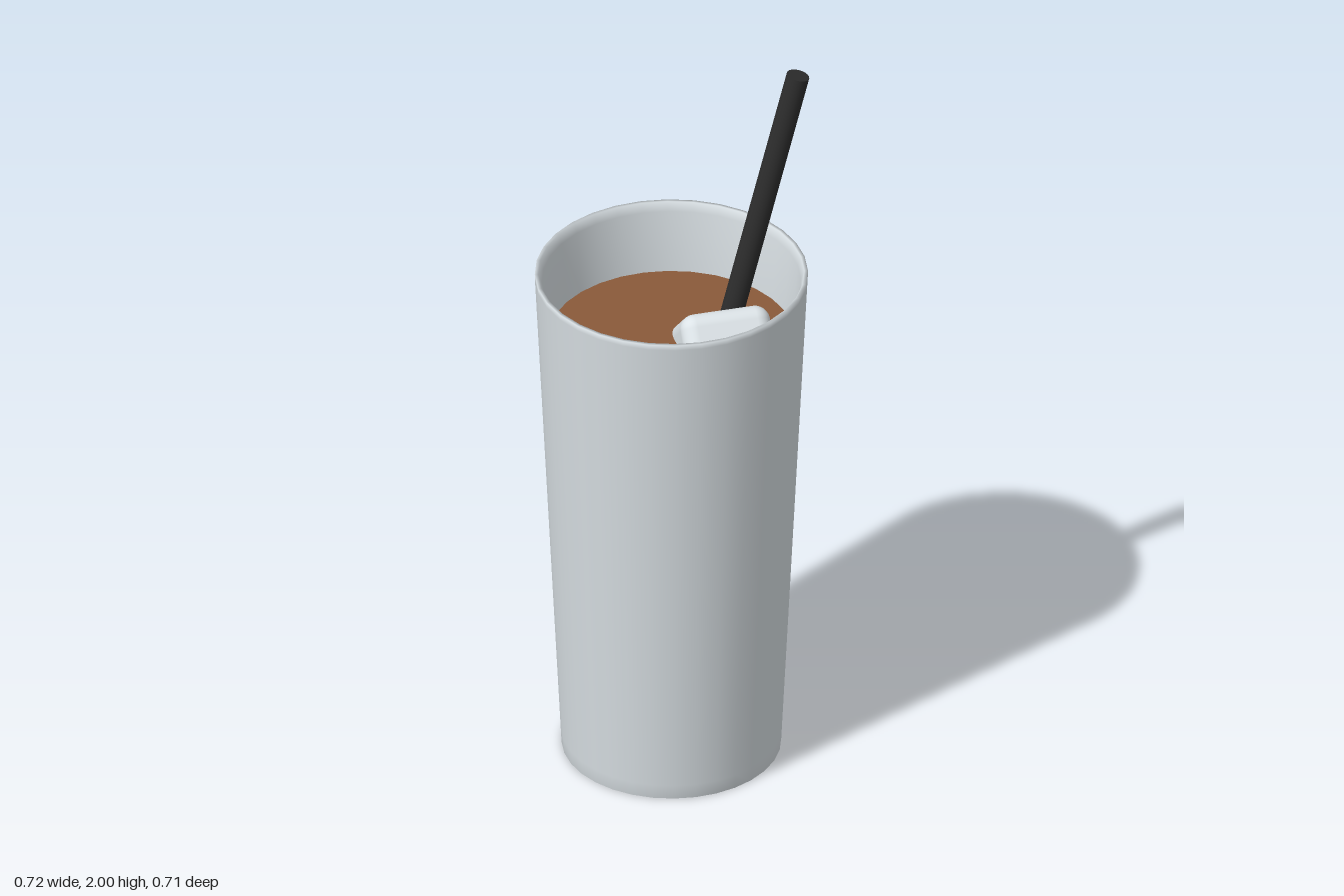
import * as THREE from 'three';
import { RoundedBoxGeometry } from 'three/addons/geometries/RoundedBoxGeometry.js';

const material = (name, color) => {
  const m = new THREE.MeshStandardMaterial({ color });
  m.name = name;
  return m;
};

export function createModel() {
  const group = new THREE.Group();
  const cupMat = material('pale grey cup', 0xd6dde1);
  const iceMat = material('ice white', 0xdce3e7);
  const drinkMat = material('brown drink', 0x8a5a3a);
  const strawMat = material('black straw', 0x2c2c2c);
  const axisX = -0.006;

  const add = (name, geometry, mat, x, y, z) => {
    const mesh = new THREE.Mesh(geometry, mat);
    mesh.name = name;
    mesh.position.set(x, y, z);
    group.add(mesh);
    return mesh;
  };

  // Tapered cup: recessed underside, outer wall, thin lip, inner wall and inner floor
  const profile = [
    [0, 0.09], [0.24, 0.09], [0.268, 0.085], [0.275, 0.02], [0.279, 0], [0.285, 0],
    [0.287, 0.04], [0.32, 0.72], [0.354, 1.42], [0.3545, 1.435], [0.345, 1.435],
    [0.336, 1.41], [0.32, 1.23], [0.27, 0.13], [0, 0.13],
  ].map(([r, y]) => new THREE.Vector2(r, y));
  add('cup', new THREE.LatheGeometry(profile, 32), cupMat, axisX, 0, 0);

  // Drink filling the cup
  const drinkTop = 1.237, drinkBottom = 0.135;
  add('drink', new THREE.CylinderGeometry(0.32, 0.269, drinkTop - drinkBottom, 32), drinkMat,
    axisX, (drinkTop + drinkBottom) / 2, 0);

  // Tilted ice cube, half sunk in the drink
  const ice = add('iceCube', new RoundedBoxGeometry(0.24, 0.2, 0.2, 4, 0.04), iceMat, 0.121, 1.212, 0.0625);
  ice.rotation.set(-0.73, 0.04, 0, 'YXZ');

  // Straw leaning to the cup's left
  const top = new THREE.Vector3(0.331, 1.993, 0);
  const lean = Math.atan(0.25), length = 1.85;
  const centre = top.clone().add(new THREE.Vector3(-Math.sin(lean), -Math.cos(lean), 0).multiplyScalar(length / 2));
  const straw = add('straw', new THREE.CylinderGeometry(0.03, 0.03, length, 20), strawMat, centre.x, centre.y, 0);
  straw.rotation.z = -lean;

  return group;
}
